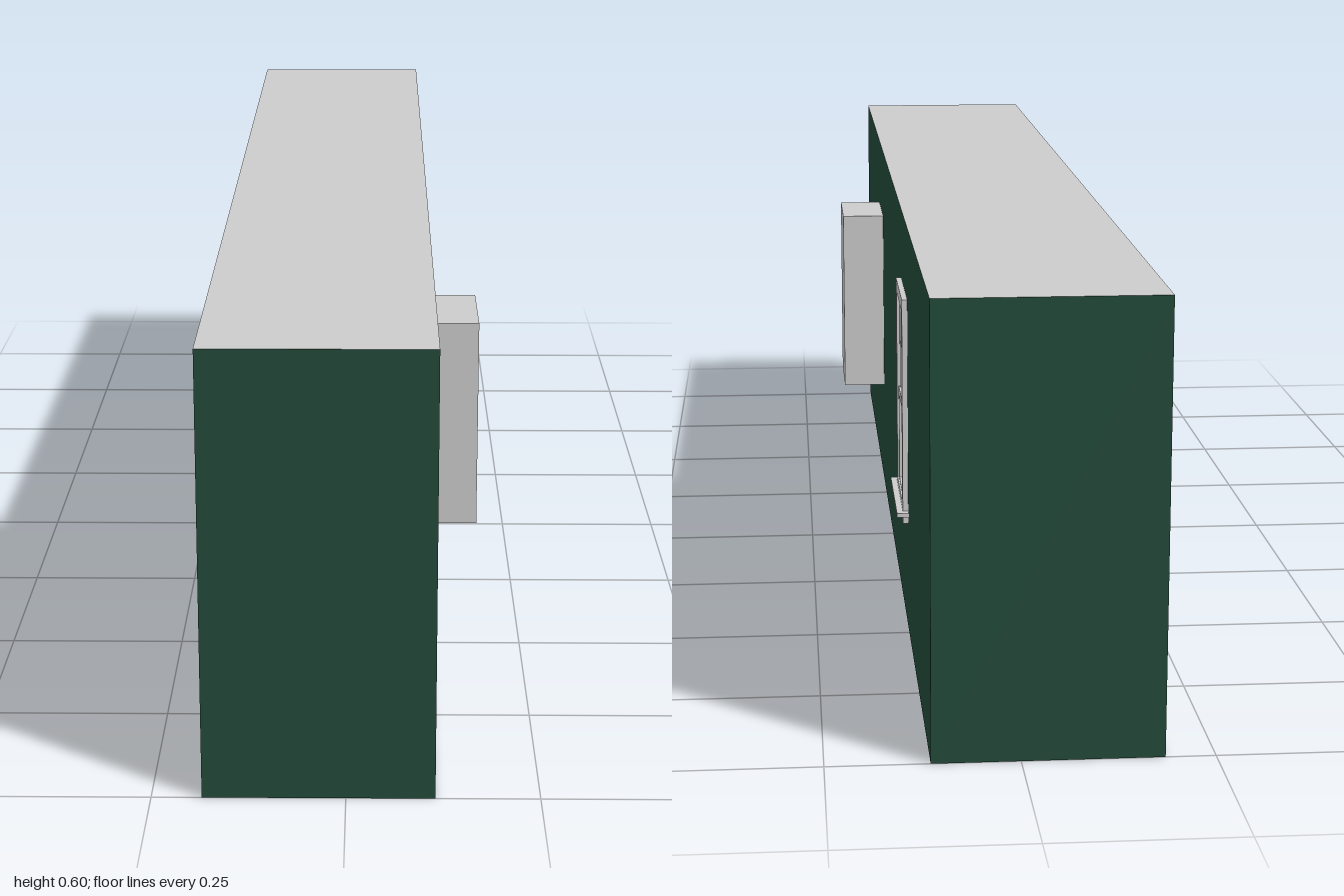
import * as THREE from 'three';

const mat = (name, color) => {
  const m = new THREE.MeshStandardMaterial({ color });
  m.name = name;
  return m;
};

export function createModel() {
  const green = mat('wall green', 0x234b3b);
  const pale = mat('pale grey', 0xcccccc);
  const brown = mat('floor brown', 0x664429);

  const model = new THREE.Group();
  model.name = 'building';

  // Box given by its limits on each axis
  const box = (parent, name, [x0, x1], [y0, y1], [z0, z1], material = pale) => {
    const mesh = new THREE.Mesh(new THREE.BoxGeometry(x1 - x0, y1 - y0, z1 - z0), material);
    mesh.position.set((x0 + x1) / 2, (y0 + y1) / 2, (z0 + z1) / 2);
    mesh.name = name;
    parent.add(mesh);
  };

  // Rectangular frame in the wall plane: outer limits, bar width, x range
  const frame = (parent, name, [x0, x1], [y0, y1], [z0, z1], w) => {
    const shape = new THREE.Shape();
    shape.moveTo(-z0, y0).lineTo(-z0, y1).lineTo(-z1, y1).lineTo(-z1, y0).closePath();
    const hole = new THREE.Path();
    hole.moveTo(-z0 - w, y0 + w).lineTo(-z1 + w, y0 + w);
    hole.lineTo(-z1 + w, y1 - w).lineTo(-z0 - w, y1 - w).closePath();
    shape.holes.push(hole);
    const geo = new THREE.ExtrudeGeometry(shape, { depth: x1 - x0, bevelEnabled: false });
    geo.rotateY(Math.PI / 2);
    const mesh = new THREE.Mesh(geo, pale);
    mesh.position.x = x0;
    mesh.name = name;
    parent.add(mesh);
  };

  // Main block: green walls, pale roof, brown underside
  const wall = 0.115;
  box(model, 'buildingBlock', [-0.185, wall], [0, 0.6], [-1, 1],
    [green, green, pale, brown, green, green]);

  // Projecting cabinet
  box(model, 'wallCabinet', [wall, 0.185], [0.18, 0.485], [0.32, 0.476]);

  // Sash window
  const win = new THREE.Group();
  win.name = 'sashWindow';
  model.add(win);
  box(win, 'windowGlass', [wall, 0.1165], [0.18, 0.48], [-0.475, -0.32]);
  frame(win, 'windowCasing', [wall, 0.123], [0.172, 0.495], [-0.484, -0.311], 0.018);
  frame(win, 'upperSash', [wall, 0.1185], [0.322, 0.48], [-0.468, -0.327], 0.01);
  frame(win, 'lowerSash', [wall, 0.1205], [0.18, 0.332], [-0.468, -0.327], 0.012);

  // Glazing bars: three by two panes in the upper sash
  for (const z of [-0.376, -0.419]) {
    box(win, 'verticalGlazingBar', [wall, 0.118], [0.33, 0.475], [z - 0.002, z + 0.002]);
  }
  box(win, 'horizontalGlazingBar', [wall, 0.118], [0.399, 0.403], [-0.46, -0.335]);

  // Sill and the apron under it
  box(win, 'windowSill', [wall, 0.132], [0.175, 0.181], [-0.497, -0.298]);
  box(win, 'sillApron', [wall, 0.123], [0.163, 0.175], [-0.488, -0.307]);

  return model;
}
